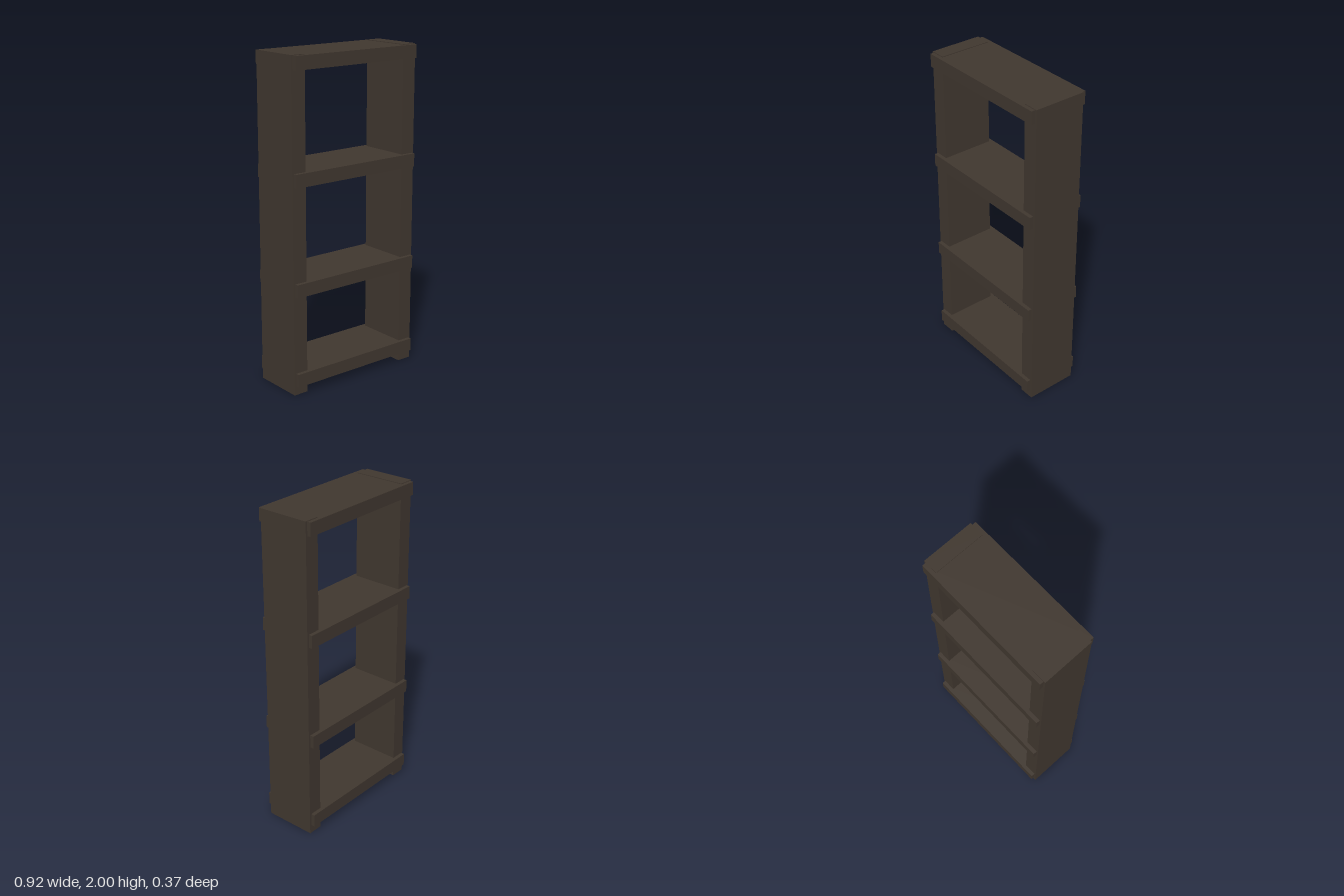
import * as THREE from 'three';

export function createModel() {
  const group = new THREE.Group();
  group.name = 'shelfUnit';

  const darkWood = new THREE.MeshStandardMaterial({ color: 0x40372f });
  darkWood.name = 'darkWood';

  function addBoard(name, width, height, depth, x, y) {
    const board = new THREE.Mesh(new THREE.BoxGeometry(width, height, depth), darkWood);
    board.name = name;
    board.position.set(x, y, 0);
    group.add(board);
  }

  // Thick upright side panels
  for (const side of [1, -1]) {
    addBoard(side > 0 ? 'leftSidePanel' : 'rightSidePanel', 0.094, 2, 0.326, side * 0.411, 1);
  }

  // Shelves set through the panels, standing proud at front and back
  [0.096, 0.65, 1.299, 1.956].forEach((y, i) => {
    addBoard(`shelf${i + 1}`, 0.892, 0.08, 0.374, 0, y);
  });

  return group;
}
